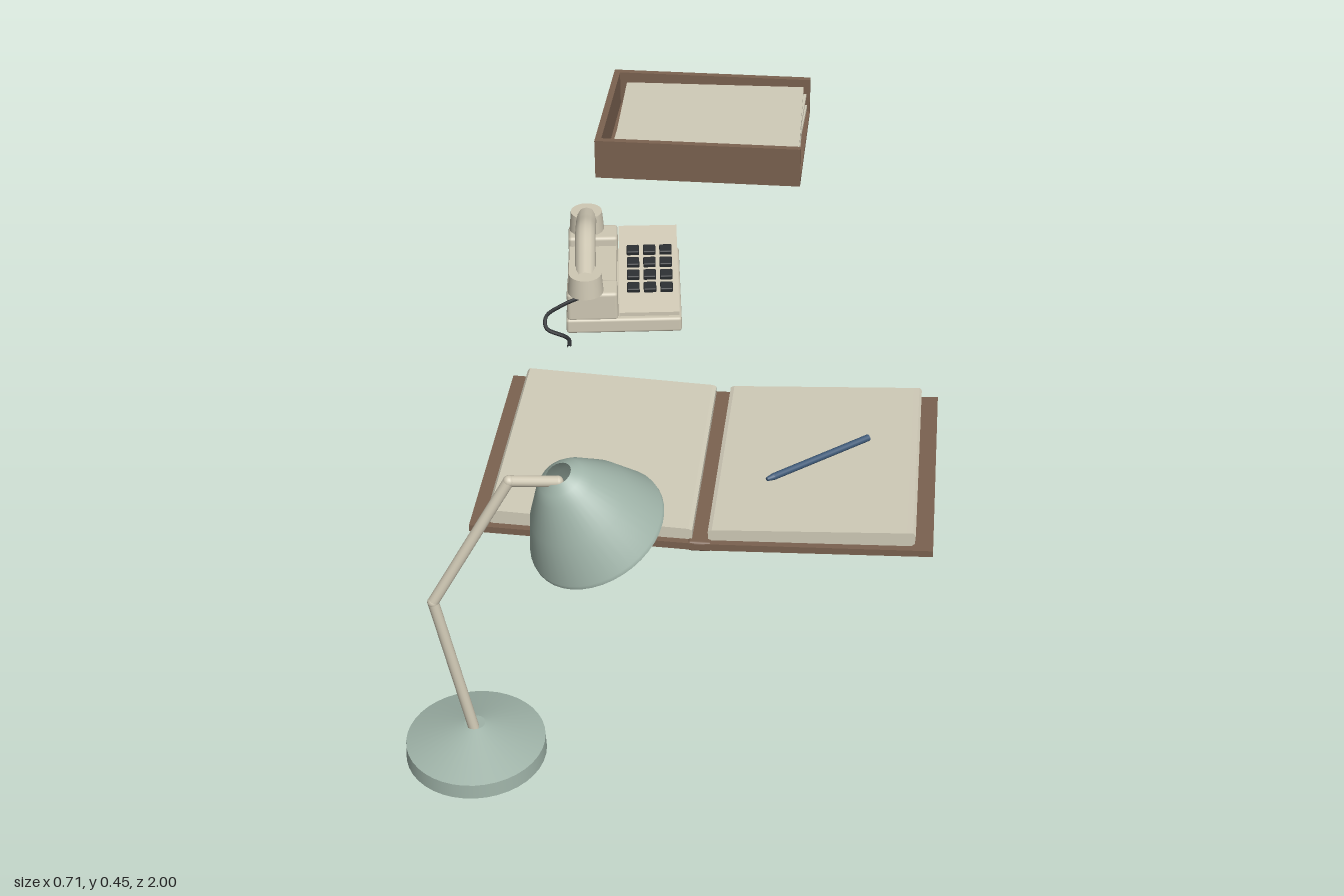
import * as THREE from 'three';
import { RoundedBoxGeometry } from 'three/addons/geometries/RoundedBoxGeometry.js';

const V = (x, y, z) => new THREE.Vector3(x, y, z);

export function createModel() {
  const mat = (name, color, side = THREE.FrontSide) => {
    const m = new THREE.MeshStandardMaterial({ color, side });
    m.name = name;
    return m;
  };
  const sage = mat('sage enamel', 0x9fb3a8, THREE.DoubleSide);
  const cream = mat('cream plastic', 0xcfc8b4);
  const paper = mat('paper', 0xd0cbb8);
  const brown = mat('brown leather', 0x7b6250);
  const dark = mat('dark keys', 0x2b2e31);
  const blue = mat('blue pen', 0x3f5a78);

  const group = (name, parent) => {
    const g = new THREE.Group();
    g.name = name;
    if (parent) parent.add(g);
    return g;
  };
  const add = (parent, name, geo, m, x = 0, y = 0, z = 0) => {
    const mesh = new THREE.Mesh(geo, m);
    mesh.name = name;
    mesh.position.set(x, y, z);
    parent.add(mesh);
    return mesh;
  };
  // Cylinder running between two points
  const rod = (parent, name, a, b, r0, r1, m) => {
    const d = b.clone().sub(a);
    const mid = a.clone().add(b).multiplyScalar(0.5);
    const mesh = add(parent, name, new THREE.CylinderGeometry(r1, r0, d.length(), 16), m, mid.x, mid.y, mid.z);
    mesh.quaternion.setFromUnitVectors(V(0, 1, 0), d.normalize());
    return mesh;
  };
  // Side outline extruded to a centred depth
  const slab = (points, depth) => {
    const shape = new THREE.Shape(points.map(p => new THREE.Vector2(...p)));
    const geo = new THREE.ExtrudeGeometry(shape, { depth, bevelEnabled: false });
    return geo.translate(0, 0, -depth / 2);
  };

  const root = group('deskSet');

  // Desk lamp: weighted foot, jointed arm and tilted open shade
  const lamp = group('lamp', root);
  add(lamp, 'lampFootRim', new THREE.CylinderGeometry(0.095, 0.096, 0.022, 40), sage, -0.259, 0.016, 0.904);
  add(lamp, 'lampFootCone', new THREE.CylinderGeometry(0.014, 0.095, 0.027, 40, 1, true), sage, -0.259, 0.0405, 0.904);
  const joints = [V(-0.261, 0.045, 0.904), V(-0.303, 0.262, 0.907), V(-0.2, 0.44, 0.872), V(-0.142, 0.42, 0.84)];
  for (let i = 0; i < 3; i++) rod(lamp, 'lampArm', joints[i], joints[i + 1], 0.0075, 0.0075, cream);
  for (const p of joints.slice(1)) add(lamp, 'lampJoint', new THREE.SphereGeometry(0.0078, 16, 10), cream, p.x, p.y, p.z);
  const profile = [[0.097, 0], [0.0965, 0.006], [0.071, 0.06], [0.042, 0.103], [0.031, 0.115], [0.018, 0.123]];
  const shade = add(lamp, 'lampShade',
    new THREE.LatheGeometry(profile.map(p => new THREE.Vector2(...p)), 40), sage, -0.097, 0.32, 0.806);
  shade.quaternion.setFromUnitVectors(V(0, 1, 0), V(-0.359, 0.898, 0.257).normalize());

  // Open book: covers and pages rise gently away from the spine
  const book = group('book', root);
  add(book, 'spine', new RoundedBoxGeometry(0.036, 0.017, 0.415, 2, 0.004), brown, 0, 0.0085, 0.226);
  for (const s of [1, -1]) {
    const cover = [[0.008, 0.003], [0.355, 0.015], [0.355, 0.026], [0.008, 0.015]];
    add(book, 'cover', slab(cover.map(([x, y]) => [s * x, y]), 0.415), brown, 0, 0, 0.226);
    const pages = [[0.012, 0.0145], [0.322, 0.0255], [0.327, 0.03], [0.328, 0.045], [0.324, 0.0495],
      [0.315, 0.049], [0.018, 0.0345], [0.012, 0.032]];
    add(book, 'pages', slab(pages.map(([x, y]) => [s * x, y]), 0.394), paper, 0, 0, 0.226);
  }

  // Pen lying on the page
  const pen = group('pen', root);
  rod(pen, 'penBarrel', V(0.103, 0.0495, 0.297), V(0.246, 0.0495, 0.178), 0.0055, 0.0055, blue);
  rod(pen, 'penTip', V(0.093, 0.0495, 0.305), V(0.103, 0.0495, 0.297), 0.003, 0.0055, blue);

  // Telephone
  const phone = group('telephone', root);
  phone.position.set(-0.206, 0, -0.278);
  phone.rotation.y = 0.13;
  add(phone, 'phoneBase', new RoundedBoxGeometry(0.2, 0.028, 0.244, 2, 0.005), cream, 0, 0.022, 0);
  const panel = add(phone, 'keypadWedge',
    slab([[-0.112, 0.03], [0.112, 0.03], [0.112, 0.043], [-0.112, 0.087]], 0.104), cream, 0.044, 0, 0);
  panel.rotation.y = -Math.PI / 2;
  // The wedge outline is drawn along z, so it is high at the back
  for (const z of [-0.095, 0.095])
    add(phone, 'cradle', new RoundedBoxGeometry(0.088, 0.055, 0.05, 2, 0.006), cream, -0.054, 0.0595, z);
  add(phone, 'cradleBed', new THREE.BoxGeometry(0.084, 0.04, 0.16), cream, -0.054, 0.05, 0);
  const slope = Math.atan(0.044 / 0.224);
  for (let r = 0; r < 4; r++) for (let c = 0; c < 3; c++) {
    const z = 0.005 + (r - 1.5) * 0.032;
    const key = add(phone, 'key', new RoundedBoxGeometry(0.022, 0.01, 0.02, 1, 0.002), dark,
      0.046 + (c - 1) * 0.029, 0.068 - z * 0.196, z);
    key.rotation.x = slope;
  }

  // Handset resting across the cradle
  const handset = group('handset', phone);
  for (const z of [-0.107, 0.107])
    add(handset, 'handsetCup', new THREE.CylinderGeometry(0.028, 0.031, 0.036, 24), cream, -0.065, 0.104, z);
  const arch = new THREE.CatmullRomCurve3([V(-0.065, 0.109, -0.107), V(-0.065, 0.123, -0.06), V(-0.065, 0.137, -0.012),
    V(-0.065, 0.137, 0.012), V(-0.065, 0.123, 0.06), V(-0.065, 0.109, 0.107)]);
  add(handset, 'handsetGrip', new THREE.TubeGeometry(arch, 24, 0.018, 12), cream);

  // Handset cord
  const cord = new THREE.CatmullRomCurve3([V(-0.262, 0.082, -0.15), V(-0.295, 0.068, -0.142), V(-0.322, 0.05, -0.132),
    V(-0.32, 0.035, -0.118), V(-0.28, 0.025, -0.104), V(-0.276, 0.02, -0.084)]);
  add(root, 'cord', new THREE.TubeGeometry(cord, 32, 0.0035, 8), dark);

  // Letter tray, open on the left side, with a loose stack of paper
  const tray = group('letterTray', root);
  add(tray, 'trayFloor', new THREE.BoxGeometry(0.395, 0.01, 0.305), brown, -0.1175, 0.017, -0.8475);
  for (const z of [-0.994, -0.701])
    add(tray, 'traySide', new THREE.BoxGeometry(0.395, 0.08, 0.012), brown, -0.1175, 0.052, z);
  add(tray, 'trayEnd', new THREE.BoxGeometry(0.012, 0.08, 0.305), brown, -0.309, 0.052, -0.8475);
  const turns = [0.02, -0.03, 0.025, -0.015, 0.03];
  turns.forEach((turn, i) => {
    const y = 0.028 + i * 0.0115;
    const sheet = add(tray, 'paperStack', new THREE.BoxGeometry(0.355, 0.008, 0.262), paper, -0.106, y, -0.8475);
    sheet.rotation.y = turn;
    if (i === 4) return;
    const folder = add(tray, 'folder', new THREE.BoxGeometry(0.345, 0.0035, 0.255), sage, -0.108, y + 0.00575, -0.8475);
    folder.rotation.y = -turn;
  });
  return root;
}
